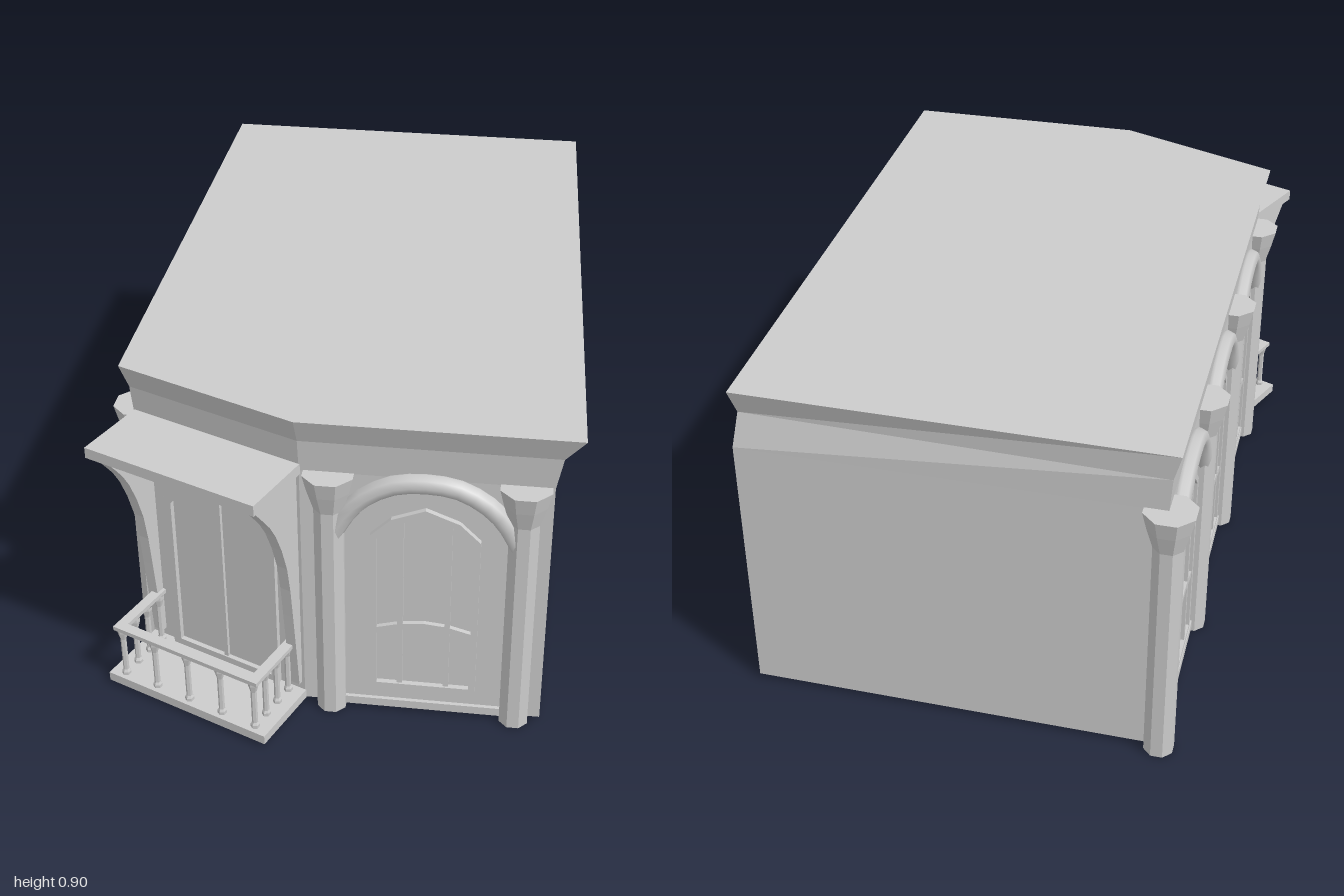
import * as THREE from 'three';

const flat = new THREE.MeshStandardMaterial({ color: 0xcccccc, flatShading: true, side: THREE.DoubleSide });
const smooth = new THREE.MeshStandardMaterial({ color: 0xcccccc, side: THREE.DoubleSide });

function add(parent, name, geometry, x = 0, y = 0, z = 0, material = flat) {
  const mesh = new THREE.Mesh(geometry, material);
  mesh.name = name;
  mesh.position.set(x, y, z);
  parent.add(mesh);
  return mesh;
}

function box(parent, name, w, h, d, x, y, z) {
  return add(parent, name, new THREE.BoxGeometry(w, h, d), x, y, z);
}

function place(parent, name, x, z, angle) {
  const group = new THREE.Group();
  group.name = name;
  group.position.set(x, 0, z);
  group.rotation.y = angle;
  parent.add(group);
  return group;
}

// Mirror the right half of an outline to a full list of points
const mirrored = half => [...half, ...half.filter(p => p[0] > 0).reverse().map(([x, y]) => [-x, y])]
  .map(([x, y]) => new THREE.Vector2(x, y));

function extrude(outline, depth, hole) {
  const shape = new THREE.Shape(outline);
  if (hole) shape.holes.push(new THREE.Path(hole));
  return new THREE.ExtrudeGeometry(shape, { depth, bevelEnabled: false });
}

// Convex rings of [x, z] at given heights, skinned and capped
function loft(levels) {
  const pos = [];
  const put = (level, i) => pos.push(level.ring[i][0], level.y, level.ring[i][1]);
  const n = levels[0].ring.length;
  for (let k = 0; k < levels.length - 1; k++) {
    const lo = levels[k], hi = levels[k + 1];
    for (let i = 0; i < n; i++) {
      const j = (i + 1) % n;
      put(lo, i); put(lo, j); put(hi, j);
      put(lo, i); put(hi, j); put(hi, i);
    }
  }
  const top = levels[levels.length - 1];
  for (let i = 1; i < n - 1; i++) {
    put(top, 0); put(top, i); put(top, i + 1);
    put(levels[0], 0); put(levels[0], i + 1); put(levels[0], i);
  }
  const geometry = new THREE.BufferGeometry();
  geometry.setAttribute('position', new THREE.Float32BufferAttribute(pos, 3));
  geometry.computeVertexNormals();
  return geometry;
}

// Octagonal column with a flared capital
function column(parent, x, z) {
  const k = 1 / Math.cos(Math.PI / 8);
  const profile = [[0, 0], [0.037, 0], [0.037, 0.64], [0.052, 0.695], [0.0625, 0.742], [0, 0.742]]
    .map(([r, y]) => new THREE.Vector2(r * k, y));
  add(parent, 'column', new THREE.LatheGeometry(profile, 8, Math.PI / 8), x, 0, z);
}

// Window with arched hood, standing in the wall plane
function windowBay(parent, x, z, angle) {
  const bay = place(parent, 'windowBay', x, z, angle);
  const path = new THREE.CatmullRomCurve3(
    [[-0.24, 0.55], [-0.19, 0.64], [-0.14, 0.69], [-0.065, 0.727], [0.065, 0.727], [0.14, 0.69], [0.19, 0.64], [0.24, 0.55]]
      .map(([px, py]) => new THREE.Vector3(px, py, 0.008)));
  add(bay, 'archHood', new THREE.TubeGeometry(path, 16, 0.026, 8), 0, 0, 0, smooth);

  const outer = mirrored([[0.137, 0.082], [0.137, 0.57], [0.085, 0.622], [0, 0.656]]);
  const inner = mirrored([[0.12, 0.097], [0.12, 0.563], [0.077, 0.607], [0, 0.638]]);
  add(bay, 'windowFrame', extrude(outer, 0.014, inner));
  for (const side of [-1, 1]) box(bay, 'mullion', 0.014, 0.515, 0.012, side * 0.06, 0.3575, 0.006);
  const transom = mirrored([[0.12, 0.262], [0.12, 0.28], [0.06, 0.297], [0, 0.303]]);
  const lower = [[-0.06, 0.279], [0, 0.285], [0.06, 0.279]].map(p => new THREE.Vector2(...p));
  add(bay, 'transom', extrude([...transom, ...lower], 0.012));
  box(bay, 'plinth', 0.44, 0.024, 0.02, 0, 0.024, 0);
}

// Slender baluster with a flared head
function baluster(parent, x, z) {
  const profile = [[0.012, 0.034], [0.012, 0.045], [0.008, 0.052], [0.008, 0.155], [0.014, 0.178], [0.014, 0.188]]
    .map(([r, y]) => new THREE.Vector2(r, y));
  add(parent, 'baluster', new THREE.LatheGeometry(profile, 6), x, 0, z);
}

// Balcony with door, canopy, brackets and railing
function balcony(parent) {
  const group = place(parent, 'balcony', -0.305, 0.705, -Math.PI / 8);
  box(group, 'balconyFloor', 0.495, 0.026, 0.215, 0, 0.023, 0.0975);
  box(group, 'canopy', 0.495, 0.03, 0.215, 0, 0.745, 0.0975);

  // Door surround and leaves
  const outer = mirrored([[0.17, 0.036], [0.17, 0.52], [0.105, 0.592], [0.015, 0.646], [0, 0.648]]);
  const inner = mirrored([[0.147, 0.055], [0.147, 0.51], [0.09, 0.574], [0.012, 0.622], [0, 0.624]]);
  add(group, 'doorFrame', extrude(outer, 0.014, inner));
  box(group, 'doorCentre', 0.012, 0.57, 0.01, 0, 0.338, 0.005);

  // Curved brackets: outline runs in depth and height, extruded across
  const curve = new THREE.SplineCurve([[0.015, 0.06], [0.035, 0.3], [0.055, 0.47], [0.1, 0.6], [0.145, 0.67], [0.195, 0.732]]
    .map(p => new THREE.Vector2(...p)));
  const outline = [new THREE.Vector2(-0.01, 0.732), new THREE.Vector2(-0.01, 0.06), ...curve.getPoints(10)];
  for (const x of [-0.236, 0.206]) {
    const bracket = extrude(outline, 0.03);
    bracket.rotateY(-Math.PI / 2);
    add(group, 'bracket', bracket, x + 0.03);
  }

  // Railing on three sides
  box(group, 'frontRail', 0.45, 0.012, 0.028, 0, 0.192, 0.183);
  for (let i = -2; i <= 2; i++) baluster(group, i * 0.103, 0.183);
  for (const side of [-1, 1]) {
    box(group, 'sideRail', 0.028, 0.012, 0.185, side * 0.211, 0.192, 0.0925);
    for (const z of [0.13, 0.077, 0.024]) baluster(group, side * 0.206, z);
  }
}

export function createModel() {
  const model = new THREE.Group();
  model.name = 'building';

  // Main block: flared cornice on the street sides, fading at the back right corner
  const wall = [[-0.535, -0.945], [-0.535, 0.61], [-0.08, 0.8], [0.54, 0.8], [0.54, -0.942]];
  const eave = [[-0.56, -0.952], [-0.56, 0.632], [-0.085, 0.832], [0.605, 0.832], [0.54, -0.942]];
  const ring = (t, notch = 0) => wall.map(([x, z], i) => [
    x + (eave[i][0] - x) * t - (i === 4 ? notch * 0.5 : 0),
    z + (eave[i][1] - z) * t + (i === 4 ? notch : 0)]);
  add(model, 'mainBlock', loft([
    { y: 0.012, ring: ring(0) },
    { y: 0.74, ring: ring(0) },
    { y: 0.83, ring: ring(0.25, 0.024) },
    { y: 0.898, ring: ring(1) },
  ]));

  // Front bay and columns
  column(model, -0.007, 0.8);
  column(model, 0.472, 0.8);
  windowBay(model, 0.232, 0.8, 0);

  // Side bays and columns
  for (let i = 0; i < 4; i++) {
    const z = 0.55 - i * 0.497;
    column(model, -0.538, z);
    if (i < 3) windowBay(model, -0.535, z - 0.2485, -Math.PI / 2);
  }

  balcony(model);
  return model;
}
